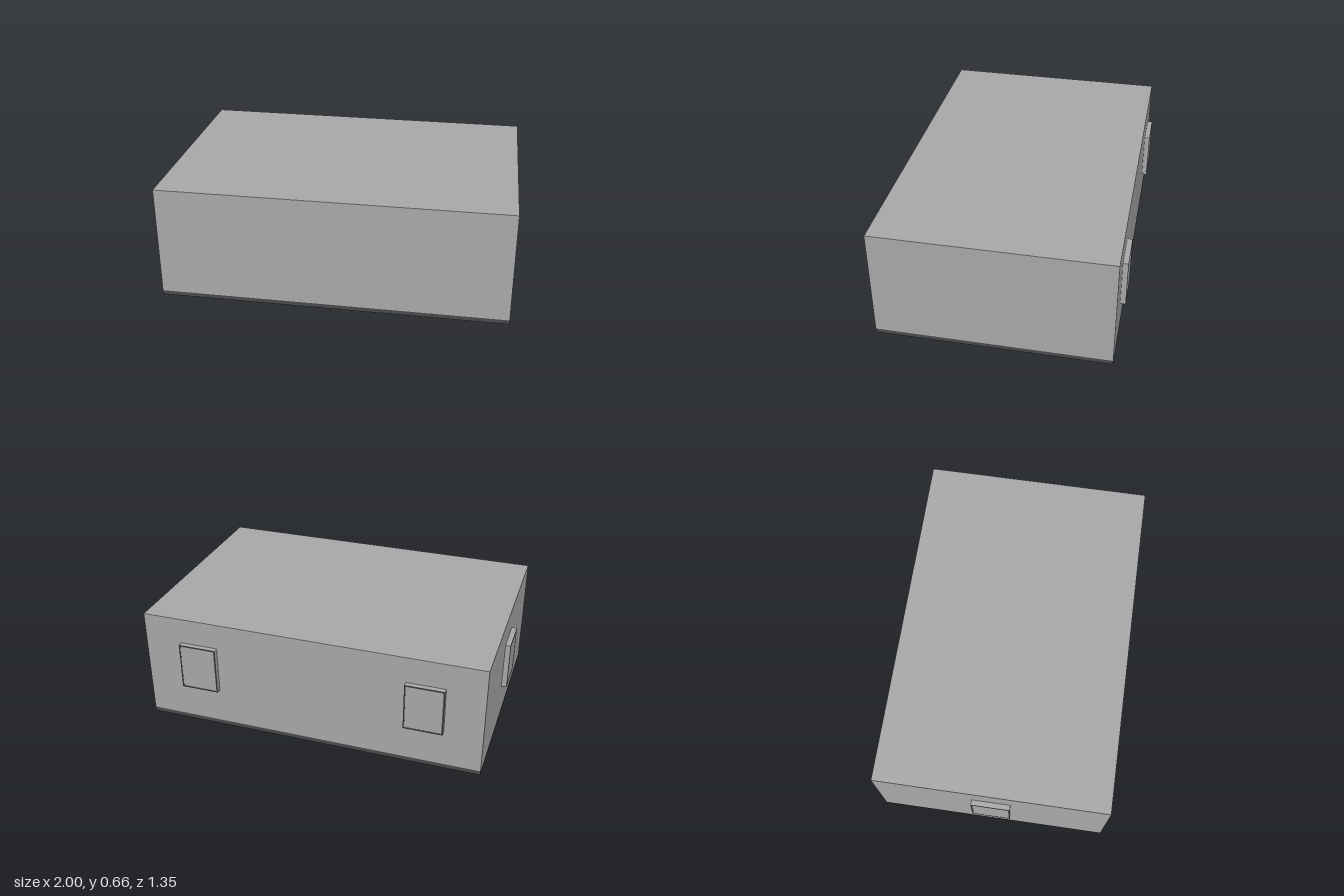
import * as THREE from 'three';

export function createModel() {
  const model = new THREE.Group();
  const grey = new THREE.MeshStandardMaterial({ name: 'body grey', color: 0xa9a9a9 });
  const dark = new THREE.MeshStandardMaterial({ name: 'dark trim', color: 0x4a4a4a });

  // Box given by its minimum and maximum corners
  function box(name, mat, min, max, parent = model) {
    const size = max.map((v, i) => v - min[i]);
    const mesh = new THREE.Mesh(new THREE.BoxGeometry(...size), mat);
    mesh.position.set(...max.map((v, i) => (v + min[i]) / 2));
    mesh.name = name;
    parent.add(mesh);
    return mesh;
  }

  // Main block on a dark base
  const base = 0.025;
  box('base', dark, [-0.97, 0, -0.645], [1, base, 0.67]);
  box('body', grey, [-0.97, base, -0.645], [1, 0.66, 0.67]);

  // Raised panel facing +z, with a dark underside and a thin dark edge line
  function panel(name, x, z, angle) {
    const g = new THREE.Group();
    const w = 0.11, h = 0.137, depth = 0.029, line = 0.008, out = depth + 0.001;
    box('panelBlock', grey, [-w, -h + 0.004, 0], [w, h, depth], g);
    box('panelUnderside', dark, [-w, -h, 0], [w, -h + 0.004, depth], g);
    for (const s of [-1, 1]) {
      const side = box('panelSideLine', dark, [-line / 2, -h, depth], [line / 2, h, out], g);
      side.position.x = s * (w - line / 2);
      const edge = box('panelEdgeLine', dark, [-w + line, -line / 2, depth], [w - line, line / 2, out], g);
      edge.position.y = s * (h - line / 2);
    }
    g.name = name;
    g.position.set(x, 0.372, z);
    g.rotation.y = angle;
    model.add(g);
  }
  panel('backPanelRight', -0.645, -0.645, Math.PI);
  panel('backPanelLeft', 0.67, -0.645, Math.PI);
  panel('sidePanel', -0.97, 0.012, -Math.PI / 2);

  return model;
}
